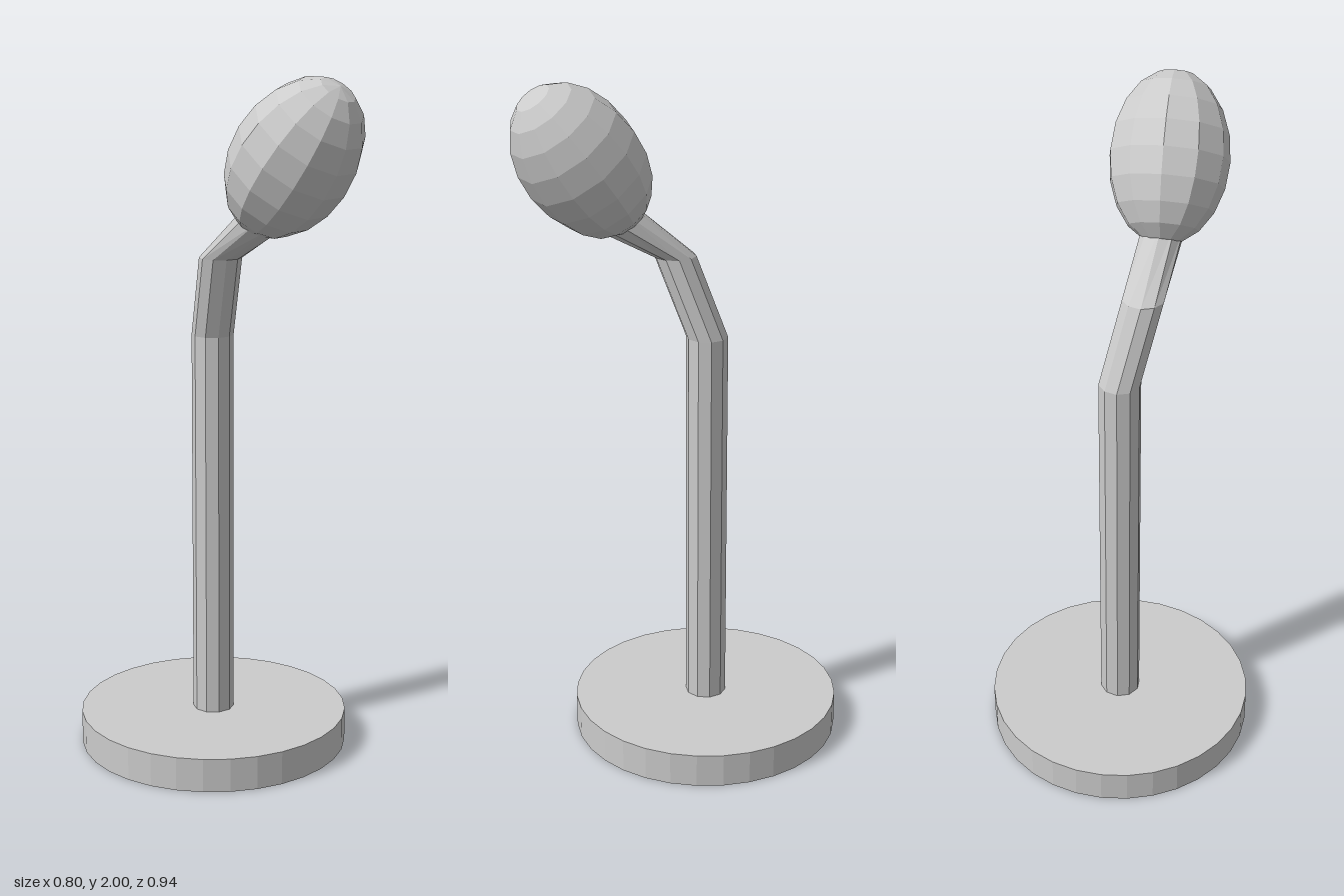
import * as THREE from 'three';

const material = new THREE.MeshStandardMaterial({ color: 0xcccccc, flatShading: true });

function part(group, name, geometry) {
  const mesh = new THREE.Mesh(geometry, material);
  mesh.name = name;
  group.add(mesh);
  return mesh;
}

// Tube whose rings sit at given centres; each ring is tilted about x.
function bentTube(rings, radius, sides) {
  const geometry = new THREE.CylinderGeometry(radius, radius, 1, sides, rings.length - 1, true);
  const pos = geometry.attributes.position;
  const v = new THREE.Vector3();
  const xAxis = new THREE.Vector3(1, 0, 0);
  for (let i = 0; i < pos.count; i++) {
    v.fromBufferAttribute(pos, i);
    const ring = rings[Math.round((v.y + 0.5) * (rings.length - 1))];
    v.y = 0;
    v.applyAxisAngle(xAxis, ring.tilt).add(new THREE.Vector3(...ring.at));
    pos.setXYZ(i, v.x, v.y, v.z);
  }
  geometry.computeVertexNormals();
  return geometry;
}

export function createModel() {
  const model = new THREE.Group();
  model.name = 'standingLamp';
  const backZ = -0.076;

  // Round foot
  part(model, 'base', new THREE.CylinderGeometry(0.4, 0.4, 0.1, 32)).position.set(0, 0.05, backZ);

  // Upright post with a neck bending forward and sideways into the head
  part(model, 'stem', bentTube([
    { at: [0, 0.09, backZ], tilt: 0 },
    { at: [0, 1.25, backZ], tilt: 0 },
    { at: [-0.056, 1.487, -0.003], tilt: 0 },
    { at: [-0.09, 1.62, 0.18], tilt: 0.7 },
  ], 0.061, 10));

  // Tilted egg-shaped head
  const egg = new THREE.SphereGeometry(1, 11, 10);
  egg.rotateY(-Math.PI / 2);
  egg.scale(0.171, 0.244, 0.171);
  egg.rotateX(THREE.MathUtils.degToRad(37));
  part(model, 'head', egg).position.set(-0.088, 1.78, 0.271);

  return model;
}
